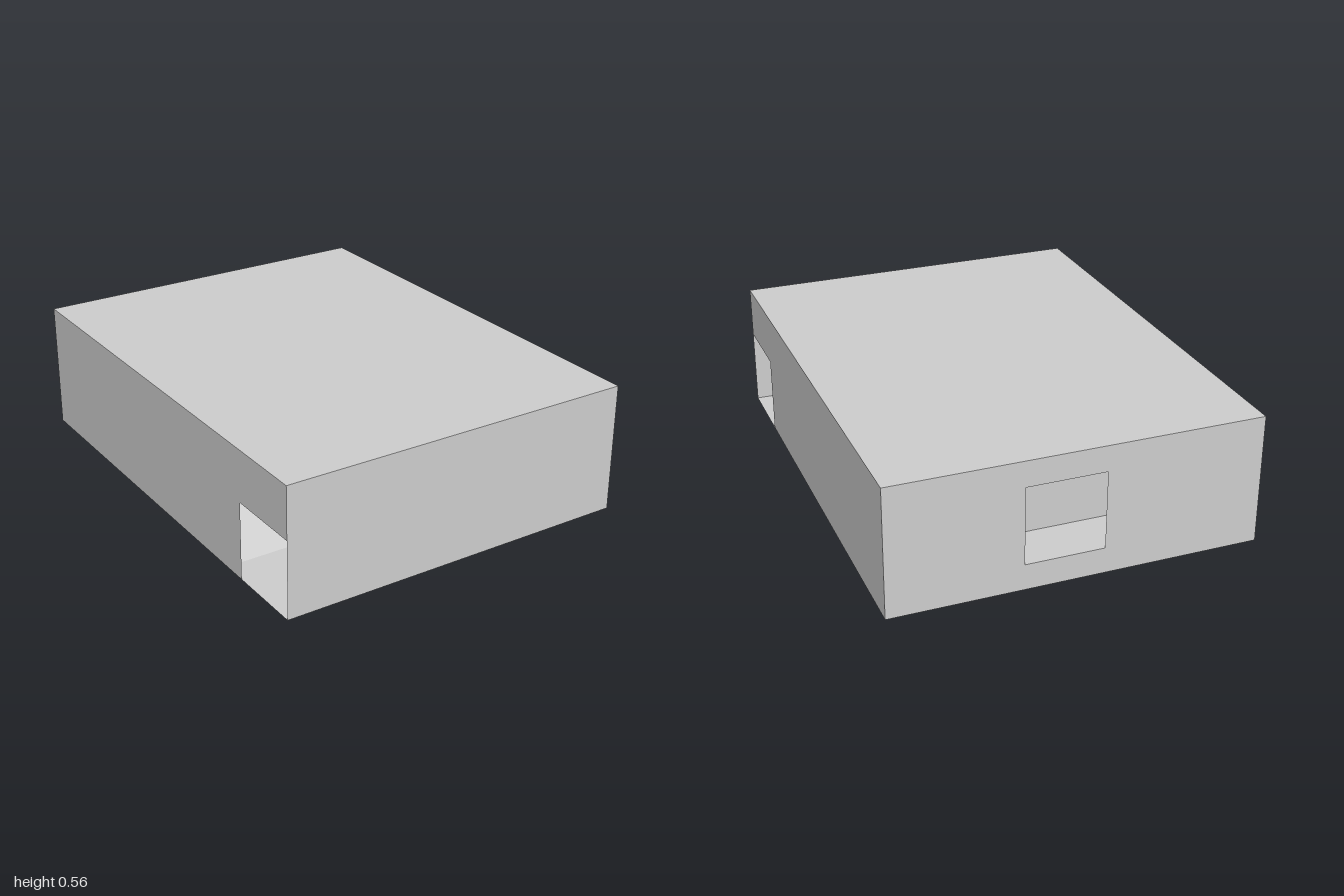
import * as THREE from 'three';

// Everything lies on a grid of ninths: 14 wide, 5 high, 18 long.
const U = 1 / 9;
const W = 7 * U, H = 5 * U, L = 9 * U;

const material = new THREE.MeshStandardMaterial({
  color: 0xcccccc, flatShading: true, side: THREE.DoubleSide,
});

function rect(PathType, x0, y0, x1, y1) {
  const p = new PathType();
  p.moveTo(x0, y0);
  p.lineTo(x1, y0);
  p.lineTo(x1, y1);
  p.lineTo(x0, y1);
  p.closePath();
  return p;
}

export function createModel() {
  const model = new THREE.Group();

  function add(name, geometry) {
    const mesh = new THREE.Mesh(geometry, material);
    mesh.name = name;
    model.add(mesh);
    return mesh;
  }

  // Full-width sheet between two (y, z) edges
  function sheet(name, y0, z0, y1, z1) {
    const g = new THREE.PlaneGeometry(2 * W, Math.hypot(y1 - y0, z1 - z0));
    g.rotateX(Math.atan2(z1 - z0, y1 - y0));
    g.translate(0, (y0 + y1) / 2, (z0 + z1) / 2);
    return add(name, g);
  }

  // Outer shell
  sheet('lid', H, L, H, -L);
  sheet('frontWall', 0, L, H, L);
  sheet('frontFloor', 0, L, 0, 3 * U);

  // Side walls, notched at the lower front corner
  const profile = new THREE.Shape([
    [-L, 0], [6 * U, 0], [6 * U, 3 * U], [L, 3 * U], [L, H], [-L, H],
  ].map(([z, y]) => new THREE.Vector2(z, y)));
  for (const [name, x] of [['leftWall', W], ['rightWall', -W]]) {
    const g = new THREE.ShapeGeometry(profile);
    g.rotateY(-Math.PI / 2);
    g.translate(x, 0, 0);
    add(name, g);
  }

  // Back wall with its square window
  const back = rect(THREE.Shape, -W, 0, W, H);
  back.holes.push(rect(THREE.Path, -U, U, 2 * U, 4 * U));
  const backGeometry = new THREE.ShapeGeometry(back);
  backGeometry.translate(0, 0, -L);
  add('backWall', backGeometry);

  // Raised floor over the recess underneath
  sheet('recessWall', 0, 3 * U, U, 3 * U);
  sheet('raisedFloor', U, 3 * U, U, -L);

  // Inner partition behind the window and the ramp behind the side openings
  sheet('partition', U, -7 * U, H, -7 * U);
  sheet('ramp', 0, 5 * U, H, -5 * U);

  return model;
}
